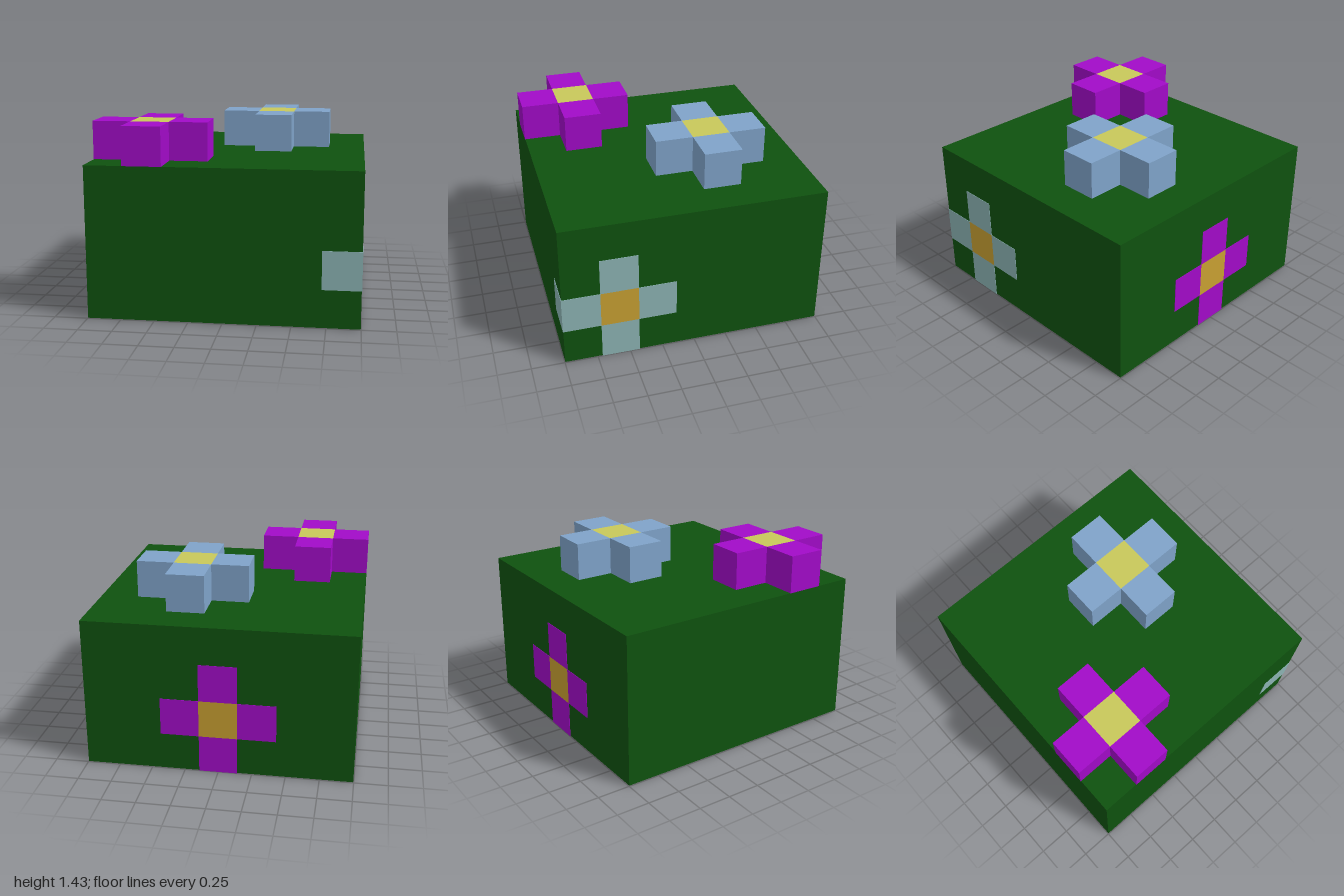
import * as THREE from 'three';

const U = 2 / 7; // one cube of the 7 x 4 x 7 block

function material(name, color) {
  const m = new THREE.MeshStandardMaterial({ color });
  m.name = name;
  return m;
}

export function createModel() {
  const leafGreen = material('leafGreen', 0x0f520f);
  const purple = material('purple', 0xa20bc8);
  const blue = material('blue', 0x7fa3c9);
  const paleTeal = material('paleTeal', 0x8cb4b4);
  const yellow = material('yellow', 0xc8c85a);
  const orange = material('orange', 0xc8a032);

  const model = new THREE.Group();
  model.name = 'floweringBush';

  // Leafy block, a hair smaller than the grid so inlaid petals sit on its skin
  const skin = 0.003;
  const bush = new THREE.Mesh(
    new THREE.BoxGeometry(2 - 2 * skin, 4 * U - skin, 2 - 2 * skin), leafGreen);
  bush.position.y = 2 * U + skin / 2;
  bush.name = 'bush';
  model.add(bush);

  const cubeGeometry = new THREE.BoxGeometry(U, U, U);
  function cube(parent, name, mat, i, j, k) {
    const mesh = new THREE.Mesh(cubeGeometry, mat);
    mesh.position.set((i - 3) * U, (j + 0.5) * U, (k - 3) * U);
    mesh.name = name;
    parent.add(mesh);
  }

  // Cross-shaped flower around grid cell c, lying in the plane of axes a and b
  function flower(name, petalMat, centreMat, c, a, b) {
    const group = new THREE.Group();
    group.name = name;
    cube(group, 'flowerCentre', centreMat, ...c);
    for (const axis of [a, b]) {
      for (const step of [-1, 1]) {
        const p = [...c];
        p[axis] += step;
        cube(group, 'petal', petalMat, ...p);
      }
    }
    model.add(group);
  }

  // Raised flowers on top
  flower('topPurpleFlower', purple, yellow, [1, 4, 5], 0, 2);
  flower('topBlueFlower', blue, yellow, [4, 4, 2], 0, 2);
  // Flowers set flush into the sides
  flower('sideTealFlower', paleTeal, orange, [6, 1, 5], 1, 2);
  flower('backPurpleFlower', purple, orange, [3, 1, 0], 0, 1);

  return model;
}
